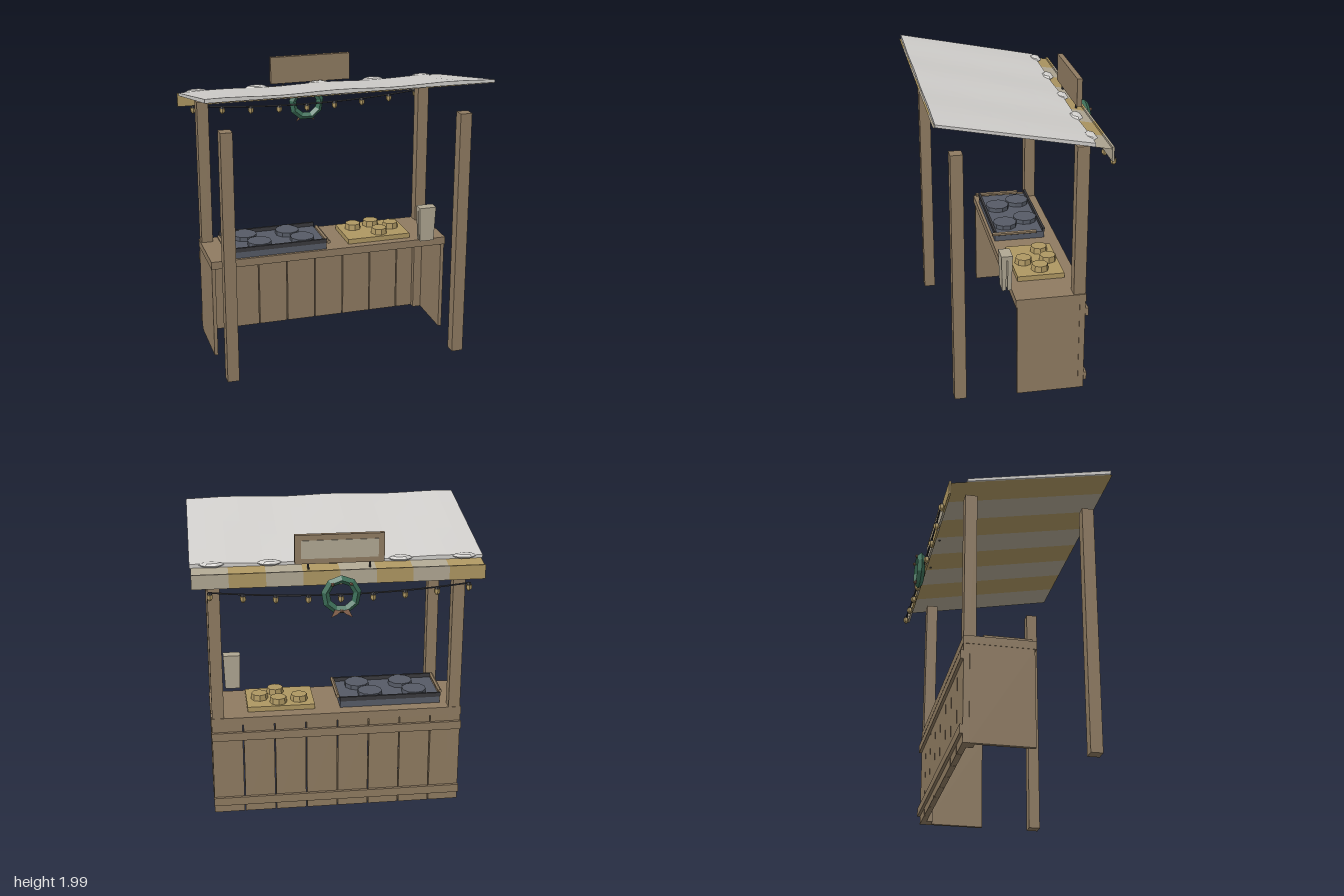
import * as THREE from 'three';

const mat = (name, color, extra = {}) => {
  const m = new THREE.MeshStandardMaterial({ color, flatShading: true, ...extra });
  m.name = name;
  return m;
};

export function createModel() {
  const root = new THREE.Group();
  root.name = 'marketStall';

  const wood = mat('wood', 0x8f7b61);
  const snowWhite = mat('snow', 0xd2d0cd);
  const gold = mat('gold', 0xae9762, { side: THREE.DoubleSide });
  const canvas = mat('canvas', 0xb0a793, { side: THREE.DoubleSide });
  const iron = mat('iron', 0x565b66);
  const darkIron = mat('dark iron', 0x3a3a3e);
  const green = mat('evergreen', 0x3c6e58);
  const ribbon = mat('ribbon', 0x8f6a54, { side: THREE.DoubleSide });

  const add = (name, geo, material, x = 0, y = 0, z = 0, parent = root) => {
    const m = new THREE.Mesh(geo, material);
    m.name = name;
    m.position.set(x, y, z);
    parent.add(m);
    return m;
  };
  // Box given by its min and max on each axis
  const box = (name, material, x0, x1, y0, y1, z0, z1) =>
    add(name, new THREE.BoxGeometry(x1 - x0, y1 - y0, z1 - z0), material,
      (x0 + x1) / 2, (y0 + y1) / 2, (z0 + z1) / 2);

  // Posts and counter side panels
  for (const s of [-1, 1]) {
    for (const z of [0.45, -0.345])
      add('post', new THREE.BoxGeometry(0.08, 1.74, 0.08), wood, s * 0.81, 0.87, z);
    add('counterSide', new THREE.BoxGeometry(0.025, 0.655, 0.415), wood, s * 0.843, 0.3275, -0.138);
  }

  // Counter: top, planks and the two rails across them
  box('counterTop', wood, -0.858, 0.858, 0.655, 0.71, -0.388, 0.08);
  for (let i = 0; i < 8; i++)
    add('counterPlank', new THREE.BoxGeometry(0.207, 0.655, 0.038), wood, (i - 3.5) * 0.2145, 0.3275, -0.366);
  for (const y of [0.087, 0.578])
    add('counterRail', new THREE.BoxGeometry(1.716, 0.058, 0.02), wood, 0, y, -0.395);

  // Sloping striped canopy with a hanging valance
  const roofY = z => 1.75 + (z + 0.505) * 0.195;
  const zBack = -0.505, zFront = 0.602, stripe = 1.9 / 8;
  for (let i = 0; i < 8; i++) {
    const x = (i - 3.5) * stripe, m = i % 2 ? canvas : gold;
    const sheet = new THREE.PlaneGeometry(stripe, zFront - zBack).rotateX(-Math.PI / 2);
    const p = sheet.attributes.position;
    const mid = (zBack + zFront) / 2;
    for (let k = 0; k < p.count; k++) p.setY(k, roofY(p.getZ(k) + mid));
    sheet.computeVertexNormals();
    add('canopyStripe', sheet, m, x, 0, mid);
    add('valanceStripe', new THREE.BoxGeometry(stripe, 0.095, 0.014), m, x, 1.717, -0.505);
  }

  // Snow layer with a gently rippled top, and drifts along the low edge
  const snow = new THREE.BoxGeometry(1.915, 0.026, 0.98, 16, 1, 5);
  const sp = snow.attributes.position;
  for (let k = 0; k < sp.count; k++) {
    const x = sp.getX(k), z = sp.getZ(k) + 0.1, top = sp.getY(k) > 0;
    const ripple = top ? 0.005 * Math.cos(x * 8.4 + z * 1.5) : 0;
    sp.setY(k, roofY(z) + (top ? 0.026 + ripple : 0.003));
    sp.setZ(k, z);
  }
  snow.computeVertexNormals();
  add('snowLayer', snow, snowWhite);
  for (const x of [-0.835, -0.41, 0.04, 0.445, 0.815])
    add('snowDrift', new THREE.SphereGeometry(1, 6, 4).scale(0.082, 0.02, 0.043), snowWhite, x, 1.795, -0.391);

  // Blank sign board on two short rods
  box('signBoard', wood, -0.292, 0.288, 1.8, 1.99, -0.47, -0.435);
  box('signPanel', canvas, -0.252, 0.248, 1.835, 1.955, -0.475, -0.469);
  for (const x of [-0.2, 0.2])
    add('signRod', new THREE.CylinderGeometry(0.007, 0.007, 0.06, 6), darkIron, x, 1.785, -0.452);

  // String of lights
  const sagY = x => 1.61 + 0.045 * (x / 0.84) ** 2;
  const pts = [];
  for (let i = 0; i <= 8; i++) {
    const x = (i - 4) * 0.209;
    pts.push(new THREE.Vector3(x, sagY(x), -0.54));
    add('bulbSocket', new THREE.CylinderGeometry(0.012, 0.016, 0.016, 6), darkIron, x, sagY(x) - 0.004, -0.54);
    const profile = [[0, -0.055], [0.011, -0.048], [0.02, -0.035], [0.02, -0.012], [0, -0.01]];
    add('lightBulb', new THREE.LatheGeometry(profile.map(q => new THREE.Vector2(...q)), 6), gold, x, sagY(x), -0.54);
  }
  add('lightString', new THREE.TubeGeometry(new THREE.CatmullRomCurve3(pts), 24, 0.006, 5), darkIron);

  // Wreath with berries and ribbon tails
  const wreath = new THREE.Group();
  wreath.name = 'wreath';
  wreath.position.set(0, 1.615, -0.56);
  root.add(wreath);
  add('wreathRing', new THREE.TorusGeometry(0.104, 0.027, 4, 9).rotateZ(Math.PI / 2), green, 0, 0, 0, wreath);
  for (const a of [-90, 53, 127]) {
    const t = a * Math.PI / 180;
    add('berry', new THREE.IcosahedronGeometry(0.013), ribbon, 0.1 * Math.cos(t), 0.1 * Math.sin(t), -0.03, wreath);
  }
  for (const s of [-1, 1]) {
    const tail = new THREE.Shape([[0, -0.1], [s * 0.045, -0.09], [s * 0.07, -0.145], [s * 0.03, -0.125]]
      .map(q => new THREE.Vector2(...q)));
    add('ribbonTail', new THREE.ShapeGeometry(tail), ribbon, 0, 0, -0.028, wreath);
  }

  // Griddle with round hot plates, rim bars and side handles
  box('griddle', iron, -0.725, -0.03, 0.71, 0.757, -0.3, 0.06);
  for (const z of [-0.295, 0.055])
    add('griddleRim', new THREE.BoxGeometry(0.7, 0.03, 0.016), darkIron, -0.378, 0.77, z);
  for (const [x, z] of [[-0.56, -0.2], [-0.49, -0.04], [-0.25, -0.2], [-0.18, -0.04]]) {
    add('hotPlate', new THREE.CylinderGeometry(0.085, 0.085, 0.036, 10), iron, x, 0.77, z);
  }
  for (const x of [-0.738, -0.02])
    add('griddleHandle', new THREE.CylinderGeometry(0.014, 0.014, 0.32, 6).rotateX(Math.PI / 2), wood, x, 0.768, -0.08);

  // Serving board with buns
  box('servingBoard', gold, 0.145, 0.605, 0.71, 0.745, -0.3, 0.02);
  for (const [x, z] of [[0.245, -0.2], [0.4, -0.06], [0.39, -0.23], [0.515, -0.15]])
    add('bun', new THREE.CylinderGeometry(0.055, 0.06, 0.04, 8), gold, x, 0.765, z);

  // Folded towel: two hanging layers joined at the top, narrowing downward
  const fold = new THREE.Shape([[0, 0.25], [0.075, 0.25], [0.068, 0], [0.043, 0], [0.042, 0.22],
    [0.034, 0.22], [0.032, 0], [0.007, 0]].map(q => new THREE.Vector2(...q)));
  const towel = new THREE.ExtrudeGeometry(fold, { depth: 0.12, bevelEnabled: false });
  towel.translate(-0.0375, 0, -0.06).rotateY(Math.PI / 2);
  const tp = towel.attributes.position;
  for (let k = 0; k < tp.count; k++) tp.setX(k, tp.getX(k) * (0.85 + 0.6 * tp.getY(k)));
  towel.computeVertexNormals();
  add('towel', towel, canvas, 0.69, 0.725, 0.118);

  return root;
}
